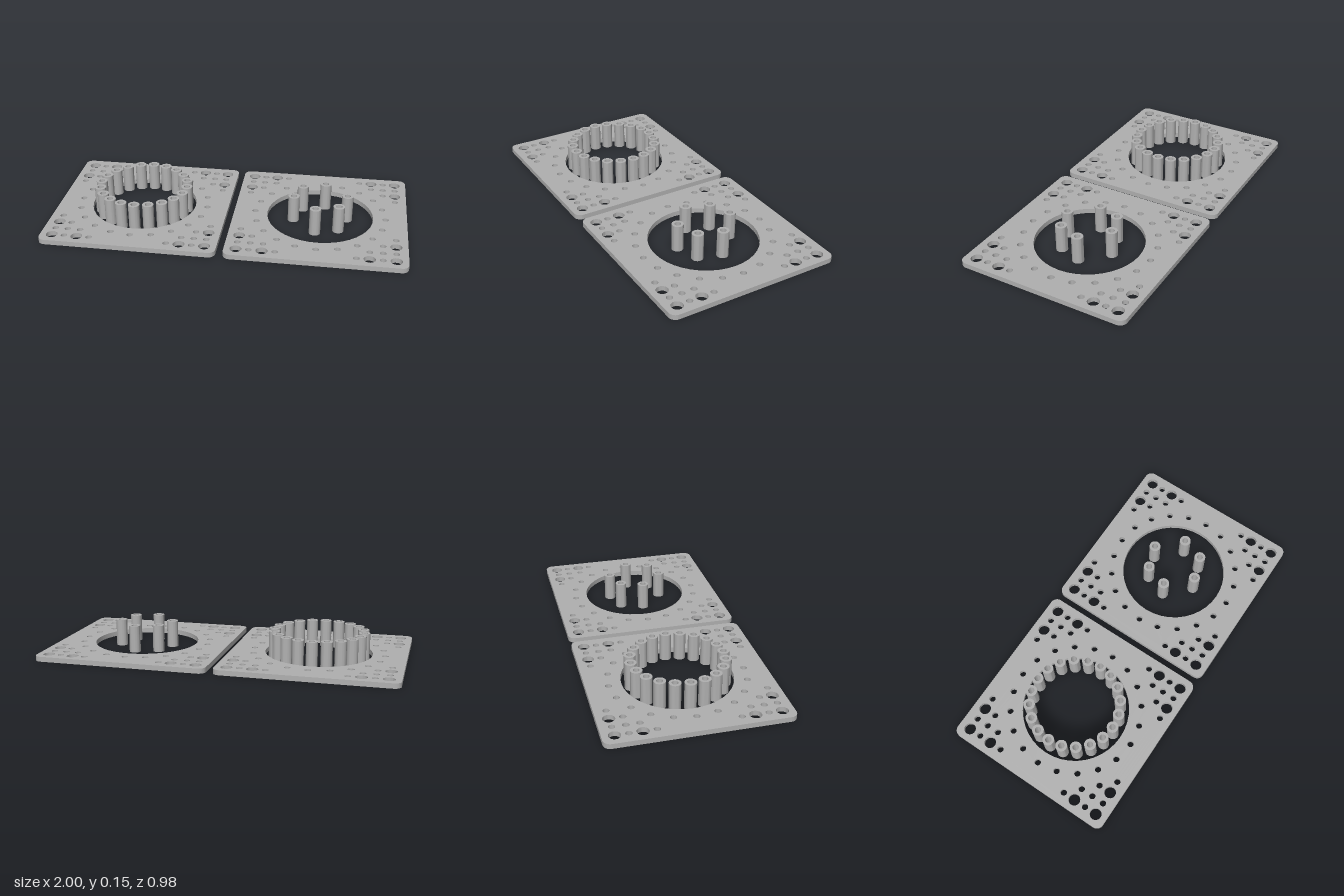
import * as THREE from 'three';
import { toCreasedNormals } from 'three/addons/utils/BufferGeometryUtils.js';

const HALF = 0.49, CORNER = 0.04, PLATE_T = 0.028, TUBE_H = 0.153;
const CENTRE_X = 0.51, SMALL = 0.0175, LARGE = 0.032;

// Extrude a flat shape upwards from y = 0
function extrudeUp(shape, height) {
  const geo = new THREE.ExtrudeGeometry(shape, { depth: height, bevelEnabled: false, curveSegments: 20 });
  geo.rotateX(-Math.PI / 2);
  return toCreasedNormals(geo, 0.6);
}

function circle(Type, x, y, r) {
  const c = new Type();
  c.absarc(x, y, r, 0, Math.PI * 2, false);
  return c;
}

// Evenly spaced points on a circle
function ringPoints(count, radius) {
  return Array.from({ length: count }, (_, i) => {
    const a = (i / count) * Math.PI * 2;
    return [Math.cos(a) * radius, Math.sin(a) * radius];
  });
}

// Rounded square plate with central opening, bolt circle and corner hole grids
function plateGeometry() {
  const s = new THREE.Shape(), k = HALF - CORNER;
  s.absarc(k, k, CORNER, 0, Math.PI / 2, false);
  s.absarc(-k, k, CORNER, Math.PI / 2, Math.PI, false);
  s.absarc(-k, -k, CORNER, Math.PI, Math.PI * 1.5, false);
  s.absarc(k, -k, CORNER, Math.PI * 1.5, Math.PI * 2, false);
  s.closePath();

  const drill = (x, y, r) => s.holes.push(circle(THREE.Path, x, y, r));
  drill(0, 0, 0.3);
  for (const [x, y] of ringPoints(20, 0.369)) drill(x, y, SMALL);

  // Triangular grid in every corner; large holes where both indices are even
  for (const sx of [-1, 1]) for (const sy of [-1, 1]) {
    for (let i = 0; i < 4; i++) for (let j = 0; i + j < 4; j++) {
      const large = i % 2 === 0 && j % 2 === 0;
      drill(sx * (0.425 - i * 0.07), sy * (0.425 - j * 0.07), large ? LARGE : SMALL);
    }
  }
  return extrudeUp(s, PLATE_T);
}

function tubeGeometry() {
  const s = circle(THREE.Shape, 0, 0, 0.032);
  s.holes.push(circle(THREE.Path, 0, 0, 0.017));
  return extrudeUp(s, TUBE_H);
}

export function createModel() {
  const model = new THREE.Group();
  model.name = 'mountingPlates';
  const grey = new THREE.MeshStandardMaterial({ color: 0xb0b0b0 });
  grey.name = 'grey';
  const plate = plateGeometry(), tube = tubeGeometry();

  // One plate with its set of hollow spacers standing in the opening
  function addAssembly(name, x, points) {
    const group = new THREE.Group();
    group.name = name;
    group.position.x = x;
    const base = new THREE.Mesh(plate, grey);
    base.name = 'plate';
    group.add(base);
    for (const [px, pz] of points) {
      const spacer = new THREE.Mesh(tube, grey);
      spacer.name = 'spacerTube';
      spacer.position.set(px, 0, pz);
      group.add(spacer);
    }
    model.add(group);
  }

  addAssembly('ringOfSpacersPlate', -CENTRE_X, ringPoints(20, 0.251));
  addAssembly('sixSpacersPlate', CENTRE_X, [
    [0.021, -0.15], [-0.107, -0.107], [-0.15, 0.021],
    [-0.021, 0.15], [0.107, 0.107], [0.15, -0.021],
  ]);
  return model;
}
